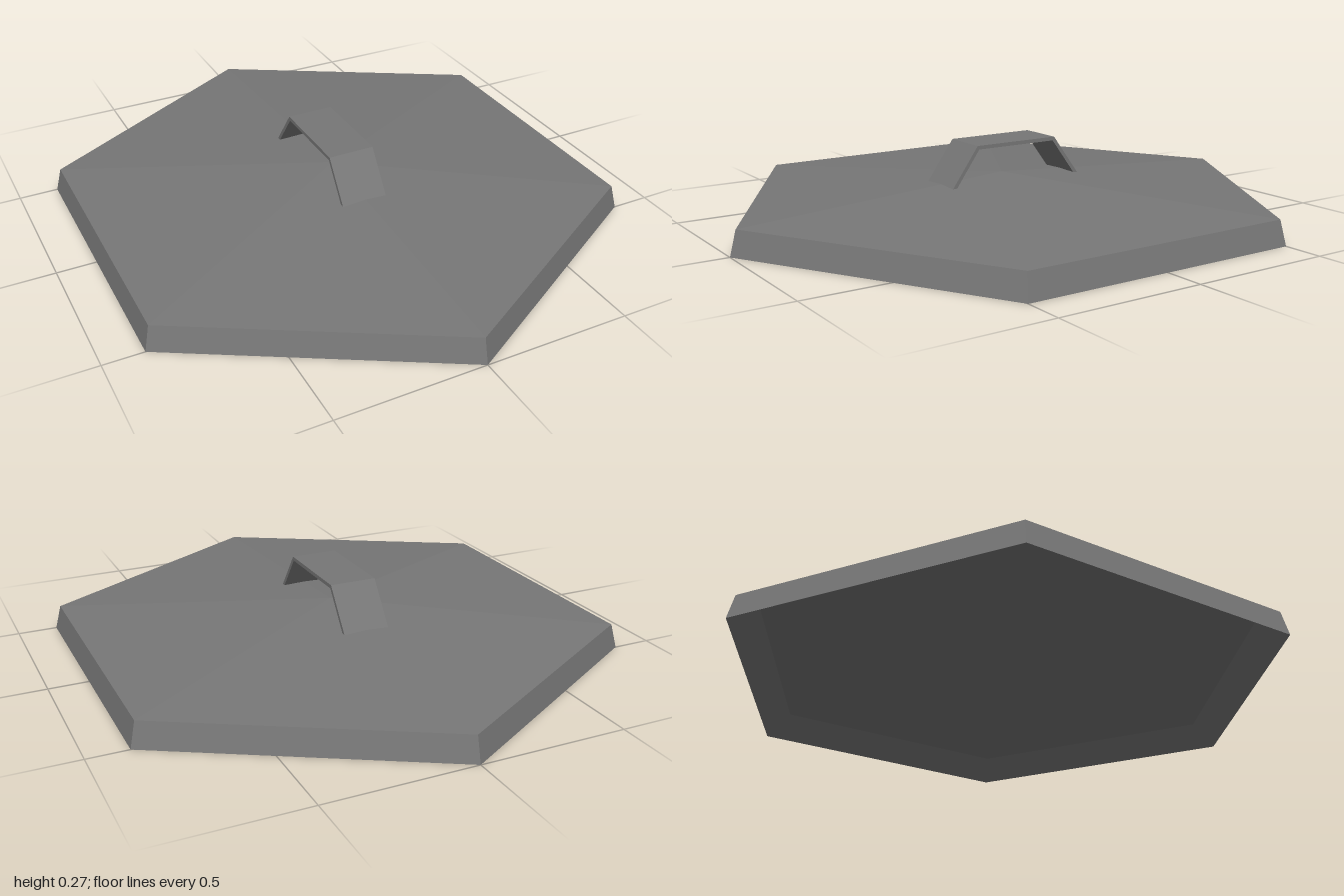
import * as THREE from 'three';

export function createModel() {
  const model = new THREE.Group();
  model.name = 'hexagonalLid';

  const greyMetal = new THREE.MeshStandardMaterial({
    color: 0x777777, flatShading: true, side: THREE.DoubleSide,
  });
  greyMetal.name = 'greyMetal';

  // Six-sided surfaces, each turned from one line of [radius, height]
  const addShell = (name, points) => {
    const profile = points.map(([r, y]) => new THREE.Vector2(r, y));
    const mesh = new THREE.Mesh(new THREE.LatheGeometry(profile, 6).toNonIndexed(), greyMetal);
    mesh.geometry.computeVertexNormals();
    mesh.name = name;
    model.add(mesh);
  };
  addShell('outerRim', [[1, 0], [0.978, 0.085]]);
  addShell('lidTop', [[0.978, 0.085], [0, 0.15]]);
  // Hollow underside: wall sloping inward to a flat ceiling
  addShell('innerRim', [[0.9, 0.072], [1, 0]]);
  addShell('ceiling', [[0, 0.072], [0.9, 0.072]]);

  // Bent strap handle: side outline extruded across its width, feet sunk into the lid
  const outline = [
    [0.252, 0.124], [0.148, 0.268], [-0.172, 0.268], [-0.28, 0.124],
    [-0.264, 0.124], [-0.166, 0.255], [0.142, 0.255], [0.236, 0.124],
  ].map(([z, y]) => new THREE.Vector2(z, y));
  const strap = new THREE.ExtrudeGeometry(new THREE.Shape(outline), {
    depth: 0.162, bevelEnabled: false,
  });
  strap.rotateY(-Math.PI / 2);
  strap.translate(0.077, 0, 0);
  const handle = new THREE.Mesh(strap, greyMetal);
  handle.name = 'handle';
  model.add(handle);

  return model;
}
